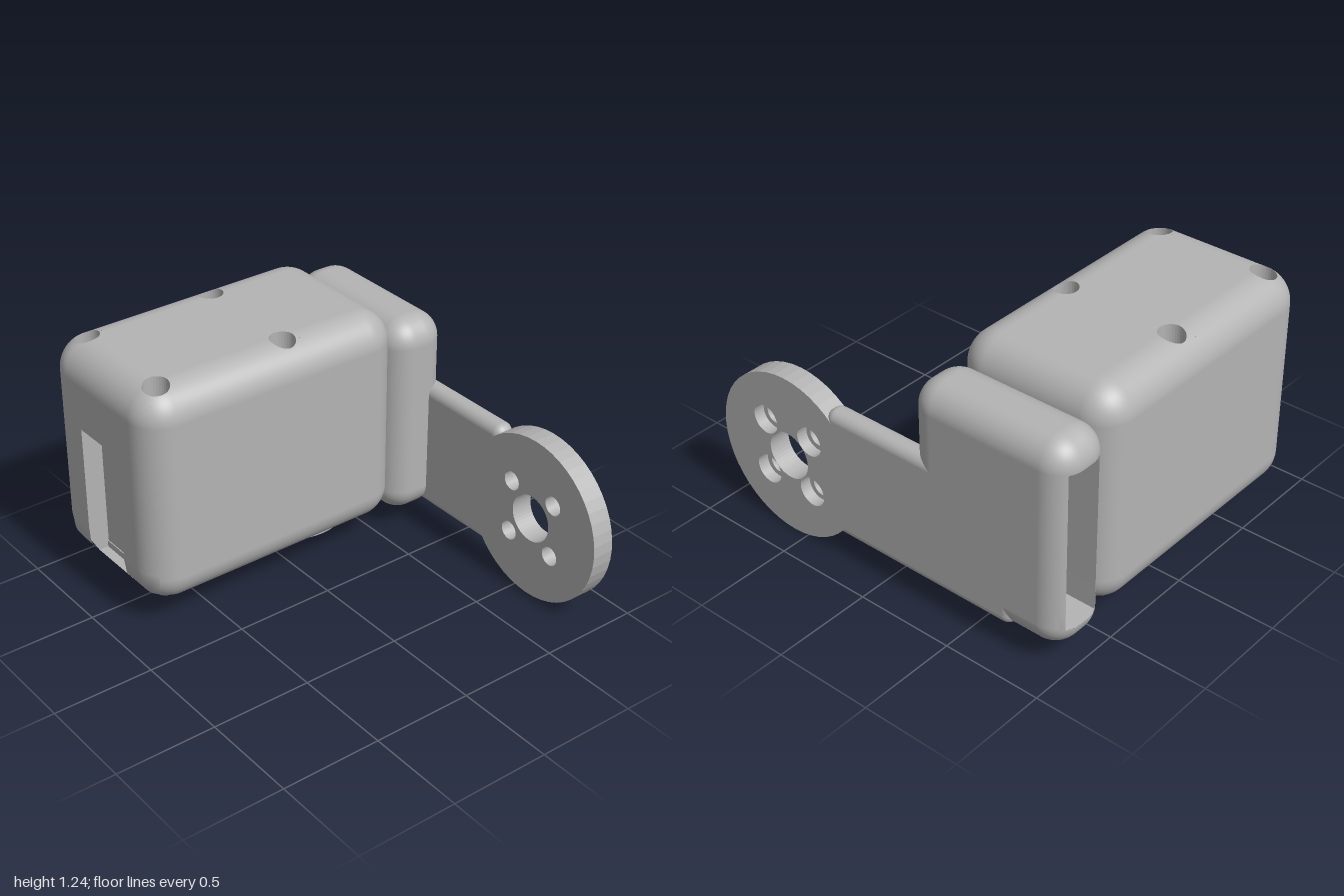
import * as THREE from 'three';
import { RoundedBoxGeometry } from 'three/addons/geometries/RoundedBoxGeometry.js';

const clamp = (v, c) => Math.max(-c, Math.min(c, v));

// Rounded box whose six faces may have pockets: {k, s, u:[centre, half], v:[centre, half], depth, r}.
// k is the face axis (0 x, 1 y, 2 z), s its sign; u and v are the next two axes; r makes the pocket round.
function pocketBox(h, r, pockets) {
  const pos = [], nor = [];
  for (let k = 0; k < 3; k++) for (const s of [1, -1]) {
    const ax = [(k + 1) % 3, (k + 2) % 3, k];
    const H = ax.map(i => h[i]), C = H.map(v => v - r);
    const place = a => { const o = [0, 0, 0]; ax.forEach((i, j) => { o[i] = a[j] * (j === 2 ? s : 1); }); return o; };
    const tri = (a, b, c) => {
      const t = s > 0 ? [a, b, c] : [a, c, b];
      let flat = null;
      if (!a.n || !b.n || !c.n) {
        const [A, B, D] = t.map(q => new THREE.Vector3(...place(q.p)));
        flat = B.sub(A).cross(D.sub(A)).normalize().toArray();
      }
      for (const q of t) { pos.push(...place(q.p)); nor.push(...(flat || place(q.n))); }
    };
    const quad = (a, b, c, d) => { tri(a, b, c); tri(a, c, d); };
    // point from the unrounded face
    const surf = (a, b) => {
      const ca = clamp(a, C[0]), cb = clamp(b, C[1]);
      const n = new THREE.Vector3(a - ca, b - cb, r).normalize().toArray();
      return { p: [ca + n[0] * r, cb + n[1] * r, C[2] + n[2] * r], n };
    };
    // point straight above a position on the face
    const above = (a, b) => {
      const da = a - clamp(a, C[0]), db = b - clamp(b, C[1]);
      const d = Math.sqrt(Math.max(0, r * r - da * da - db * db));
      return { p: [a, b, C[2] + d], n: [da / r, db / r, d / r] };
    };
    const unround = (a, c) => {
      const q = clamp(a, c), d = a - q;
      return q + d * r / Math.sqrt(r * r - d * d);
    };
    const mine = pockets.filter(p => p.k === k && p.s === s).map(p => ({
      ...p, range: [p.u, p.v].map(([m, w], j) => [unround(m - w, C[j]), unround(m + w, C[j])])
    }));
    const [U, V] = [0, 1].map(j => {
      const list = [-H[j], H[j]];
      for (const p of mine) list.push(...p.range[j]);
      for (const c of [-C[j], C[j]])
        if (!mine.some(p => c > p.range[j][0] && c < p.range[j][1])) list.push(c);
      return list.sort((a, b) => a - b).filter((v, i, l) => !i || v - l[i - 1] > 1e-5);
    });
    for (let i = 0; i + 1 < U.length; i++) for (let j = 0; j + 1 < V.length; j++) {
      const [a0, a1, b0, b1] = [U[i], U[i + 1], V[j], V[j + 1]];
      const am = (a0 + a1) / 2, bm = (b0 + b1) / 2;
      const hole = mine.find(p => am > p.range[0][0] && am < p.range[0][1] && bm > p.range[1][0] && bm < p.range[1][1]);
      if (!hole) {
        const N = 8, at = (x, y) => surf(a0 + (a1 - a0) * x / N, b0 + (b1 - b0) * y / N);
        for (let x = 0; x < N; x++) for (let y = 0; y < N; y++)
          quad(at(x, y), at(x + 1, y), at(x + 1, y + 1), at(x, y + 1));
        continue;
      }
      // rim, walls and floor of a pocket
      const N = 32, floor = H[2] - hole.depth;
      const ring = t => {
        const th = t / N * Math.PI * 2, c = Math.cos(th), n = Math.sin(th), m = Math.max(Math.abs(c), Math.abs(n));
        const outer = surf(am + (a1 - a0) / 2 * c / m, bm + (b1 - b0) / 2 * n / m);
        if (!hole.r) return [outer];
        const e = [hole.u[0] + hole.r * c, hole.v[0] + hole.r * n];
        const mid = above((outer.p[0] + e[0]) / 2, (outer.p[1] + e[1]) / 2);
        return [outer, mid, above(...e)];
      };
      const centre = { p: [hole.u[0], hole.v[0], floor] };
      for (let t = 0; t < N; t++) {
        const A = ring(t), B = ring(t + 1), last = A.length - 1;
        for (let q = 0; q < last; q++) quad(A[q + 1], A[q], B[q], B[q + 1]);
        const top = [A[last], B[last]].map(q => ({ p: q.p }));
        const low = top.map(q => ({ p: [q.p[0], q.p[1], floor] }));
        quad(top[0], top[1], low[1], low[0]);
        tri(centre, low[0], low[1]);
      }
    }
  }
  const g = new THREE.BufferGeometry();
  g.setAttribute('position', new THREE.Float32BufferAttribute(pos, 3));
  g.setAttribute('normal', new THREE.Float32BufferAttribute(nor, 3));
  return g;
}

// Flat disc with round holes given as [x, y, radius]
function disc(radius, depth, holes) {
  const shape = new THREE.Shape().absarc(0, 0, radius, 0, Math.PI * 2);
  for (const [x, y, r] of holes) shape.holes.push(new THREE.Path().absarc(x, y, r, 0, Math.PI * 2, true));
  return new THREE.ExtrudeGeometry(shape, { depth, bevelEnabled: false, curveSegments: 24 });
}

export function createModel() {
  const model = new THREE.Group();
  const grey = new THREE.MeshStandardMaterial({ color: 0xb4b4b4 });
  grey.name = 'grey plastic';
  const add = (name, geometry, x, y, z) => {
    const m = new THREE.Mesh(geometry, grey);
    m.name = name;
    m.position.set(x, y, z);
    model.add(m);
    return m;
  };

  // Main housing: four screw wells on top, cable slot at the side, open underside
  const screwX = [-0.71, -0.03], screwZ = [-0.865, -0.295];
  const pockets = [
    { k: 0, s: -1, u: [-0.17, 0.34], v: [0, 0.15], depth: 0.1 },
    { k: 1, s: -1, u: [0, 0.35], v: [0, 0.62], depth: 0.07 }
  ];
  for (const x of screwX) for (const z of screwZ)
    pockets.push({ k: 1, s: 1, u: [z + 0.58, 0.075], v: [x + 0.145, 0.075], depth: 0.14, r: 0.062 });
  add('housing', pocketBox([0.705, 0.5575, 0.42], 0.16, pockets), -0.145, 0.6875, -0.58);

  // Screws at the bottom of the wells
  const screw = new THREE.LatheGeometry([[0.036, 0], [0.036, 0.03], [0.02, 0.03], [0.02, 0.01], [0, 0.01]]
    .map(p => new THREE.Vector2(...p)), 20);
  for (const x of screwX) for (const z of screwZ) add('housingScrew', screw, x, 1.105, z);

  // Motor seen in the open underside, with its mounting screws
  add('motorCase', new THREE.BoxGeometry(1.18, 0.08, 0.46), -0.145, 0.175, -0.58);
  add('motorFlange', new THREE.BoxGeometry(1.22, 0.05, 0.64), -0.145, 0.185, -0.58);
  for (const x of [-0.69, -0.2]) for (const z of [-0.85, -0.31])
    add('motorScrew', new THREE.CylinderGeometry(0.025, 0.025, 0.02, 16), x, 0.155, z);

  // Output horn and its centre screw
  const hornHoles = [0, 1, 2, 3].map(i => [0.19 * Math.cos(i * Math.PI / 2), 0.19 * Math.sin(i * Math.PI / 2), 0.027]);
  add('horn', disc(0.277, 0.05, hornHoles).rotateX(Math.PI / 2), 0.203, 0.136, -0.58);
  const head = [[0, -0.02], [0.035, -0.02], [0.035, -0.042], [0.055, -0.042], [0.075, -0.028], [0.075, 0]];
  add('hornScrew', new THREE.LatheGeometry(head.map(p => new THREE.Vector2(...p)), 12), 0.203, 0.087, -0.58);
  for (const a of [0, Math.PI / 2])
    add('hornScrewCross', new THREE.BoxGeometry(0.066, 0.016, 0.016), 0.203, 0.06, -0.58).rotation.y = a;

  // Side bracket, hollow from the back
  add('bracket', pocketBox([0.16, 0.525, 0.42], 0.13, [
    { k: 2, s: -1, u: [0.005, 0.095], v: [-0.01, 0.4], depth: 0.7 }
  ]), 0.69, 0.625, -0.58);

  // Arm and round mounting plate with counterbored holes
  add('arm', new RoundedBoxGeometry(0.11, 0.66, 1.07, 5, 0.05), 0.795, 0.45, -0.195);
  const plateHoles = r => [[0, 0, 0.12], ...[-1, 1].flatMap(a => [-1, 1].map(b => [a * 0.138, b * 0.138, r]))];
  add('mountPlateInner', disc(0.418, 0.055, plateHoles(0.048)).rotateY(Math.PI / 2), 0.738, 0.42, 0.582);
  add('mountPlateOuter', disc(0.418, 0.057, plateHoles(0.074)).rotateY(Math.PI / 2), 0.793, 0.42, 0.582);
  return model;
}
